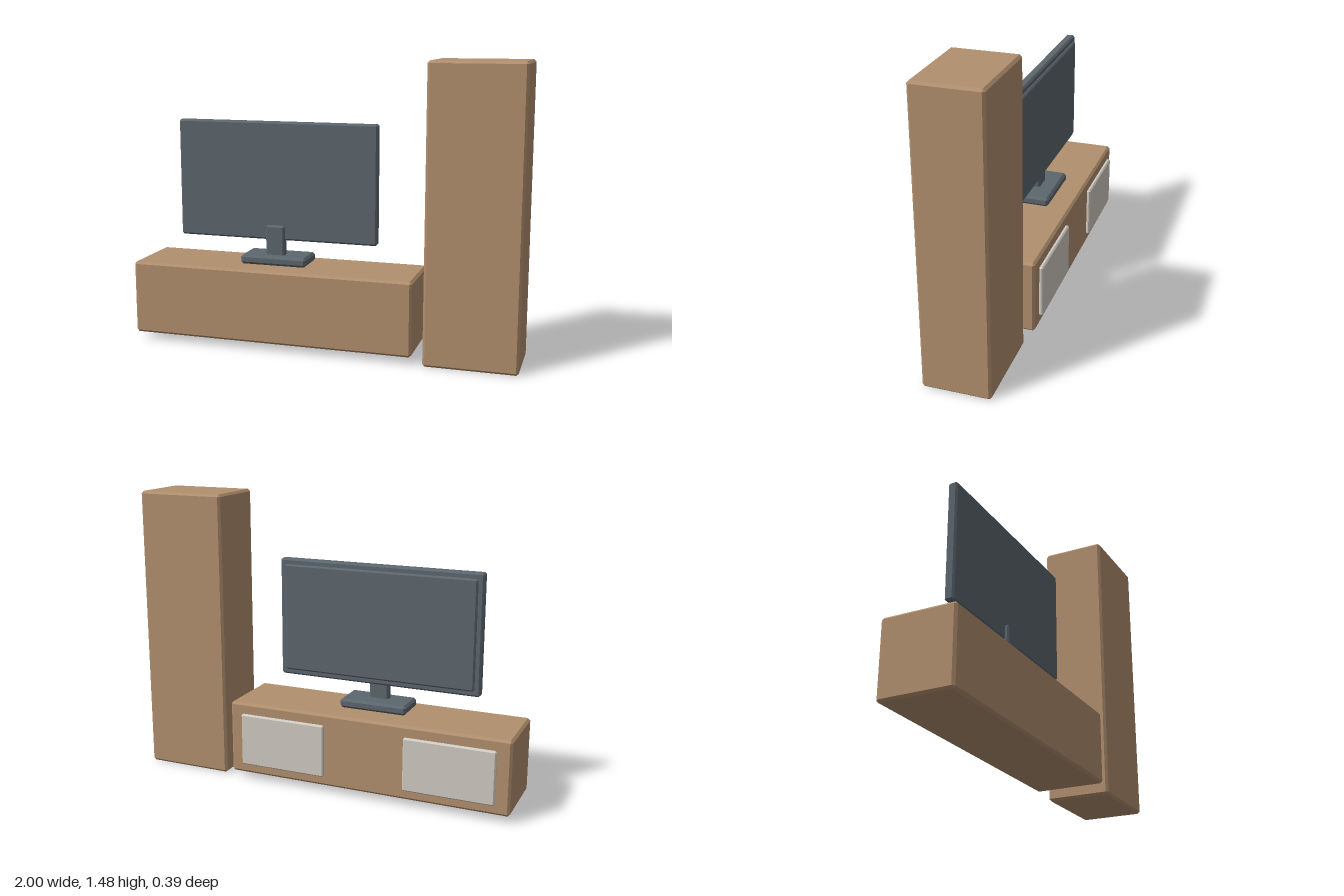
import * as THREE from 'three';
import { ConvexGeometry } from 'three/addons/geometries/ConvexGeometry.js';

const wood = new THREE.MeshStandardMaterial({ color: 0xb18f6e });
wood.name = 'wood';
const darkPlastic = new THREE.MeshStandardMaterial({ color: 0x5c666e });
darkPlastic.name = 'dark plastic';
const paleDoor = new THREE.MeshStandardMaterial({ color: 0xd0cbc2 });
paleDoor.name = 'pale door';

// Box given by its ranges, with every edge chamfered by c
function chamferBox(name, [x0, x1], [y0, y1], [z0, z1], c, material) {
  const half = [(x1 - x0) / 2, (y1 - y0) / 2, (z1 - z0) / 2];
  const points = [];
  for (const sx of [-1, 1]) for (const sy of [-1, 1]) for (const sz of [-1, 1]) {
    for (let full = 0; full < 3; full++) {
      const h = half.map((v, i) => (i === full ? v : v - c));
      points.push(new THREE.Vector3(sx * h[0], sy * h[1], sz * h[2]));
    }
  }
  const mesh = new THREE.Mesh(new ConvexGeometry(points), material);
  mesh.name = name;
  mesh.position.set((x0 + x1) / 2, (y0 + y1) / 2, (z0 + z1) / 2);
  return mesh;
}

export function createModel() {
  const model = new THREE.Group();
  model.name = 'mediaFurniture';

  // Tall cupboard and long low cabinet
  model.add(chamferBox('tallCupboard', [0.535, 1], [0, 1.475], [-0.14, 0.195], 0.012, wood));
  const cabinet = new THREE.Group();
  cabinet.name = 'lowCabinet';
  cabinet.add(chamferBox('cabinetBody', [-1, 0.48], [0.038, 0.418], [-0.175, 0.195], 0.012, wood));

  // Two pale door panels
  for (const x of [-0.93, -0.05]) {
    cabinet.add(chamferBox('doorPanel', [x, x + 0.46], [0.09, 0.363], [-0.195, -0.173], 0.007, paleDoor));
  }
  model.add(cabinet);

  // Television with its raised screen facing the doors' side
  const tv = new THREE.Group();
  tv.name = 'television';
  tv.add(chamferBox('tvBody', [-0.79, 0.268], [0.55, 1.156], [0, 0.048], 0.009, darkPlastic));
  tv.add(chamferBox('tvScreen', [-0.762, 0.24], [0.578, 1.128], [-0.013, 0.012], 0.008, darkPlastic));

  // Stand
  tv.add(chamferBox('standNeck', [-0.314, -0.214], [0.462, 0.627], [0.02, 0.066], 0.009, darkPlastic));
  tv.add(chamferBox('standBase', [-0.437, -0.087], [0.427, 0.475], [-0.065, 0.11], 0.012, darkPlastic));
  model.add(tv);

  return model;
}
